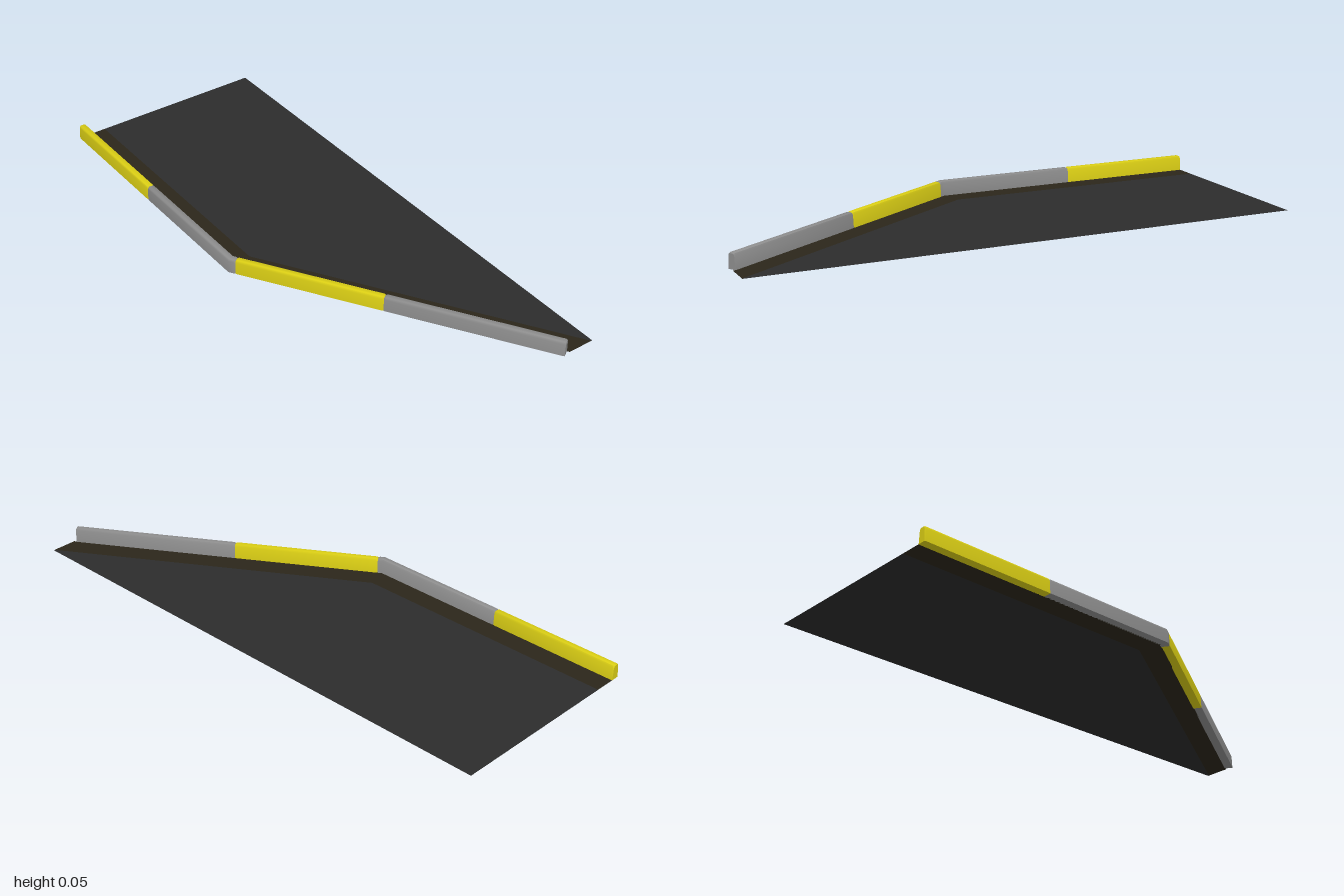
import * as THREE from 'three';
import { toCreasedNormals } from 'three/addons/utils/BufferGeometryUtils.js';

// Curb cross-section: distance inward from the outer edge, height
const PROFILE = [[0, 0], [0.002, 0.044], [0.004, 0.051], [0.008, 0.054], [0.02, 0.054],
  [0.025, 0.052], [0.028, 0.046], [0.031, 0]];
const WIDTH = 0.031;

// Inward offset (mitred at bends) for every point of an outer-edge path
function inwardOffsets(path) {
  const normals = path.slice(1).map((p, i) =>
    new THREE.Vector2(p[1] - path[i][1], path[i][0] - p[0]).normalize());
  return path.map((_, i) => {
    const a = normals[Math.max(i - 1, 0)], b = normals[Math.min(i, normals.length - 1)];
    return a.clone().add(b).divideScalar(1 + a.dot(b));
  });
}

// Sweep the profile along a path, with a small bevel at both ends
function curbGeometry(corners) {
  const bevel = 0.005;
  const toward = (a, b) => {
    const t = bevel / Math.hypot(b[0] - a[0], b[1] - a[1]);
    return [a[0] + (b[0] - a[0]) * t, a[1] + (b[1] - a[1]) * t];
  };
  const n = corners.length;
  const path = [corners[0], toward(corners[0], corners[1]), ...corners.slice(1, -1),
    toward(corners[n - 1], corners[n - 2]), corners[n - 1]];
  const offsets = inwardOffsets(path);
  const last = path.length - 1, k = PROFILE.length;
  const pos = [], index = [];
  path.forEach(([x, z], i) => {
    const s = i === 0 || i === last ? 0.92 : 1;
    for (const [u, v] of PROFILE) {
      const d = WIDTH / 2 + (u - WIDTH / 2) * s;
      pos.push(x + offsets[i].x * d, v * (s < 1 ? 0.95 : 1), z + offsets[i].y * d);
    }
  });
  for (let i = 0; i < last; i++) {
    for (let j = 0; j < k; j++) {
      const a = i * k + j, b = i * k + (j + 1) % k;
      index.push(a, a + k, b, b, a + k, b + k);
    }
  }
  // End caps
  for (let j = 1; j < k - 1; j++) {
    index.push(0, j, j + 1, last * k, last * k + j + 1, last * k + j);
  }
  const g = new THREE.BufferGeometry();
  g.setAttribute('position', new THREE.Float32BufferAttribute(pos, 3));
  g.setIndex(index);
  return toCreasedNormals(g, 0.7);
}

// Flat ground polygon given as [x, z] points
function groundMesh(points, color, name) {
  const shape = new THREE.Shape(points.map(([x, z]) => new THREE.Vector2(x, -z)));
  const g = new THREE.ShapeGeometry(shape).rotateX(-Math.PI / 2);
  const mesh = new THREE.Mesh(g, new THREE.MeshStandardMaterial({ color, side: THREE.DoubleSide }));
  mesh.name = name;
  return mesh;
}

export function createModel() {
  const group = new THREE.Group();
  group.name = 'roadEdge';
  const back = [-0.372, -1], bend = [-0.372, 0.011], front = [0.247, 0.99];
  const alongDiagonal = z => {
    const t = (z - bend[1]) / (front[1] - bend[1]);
    return [bend[0] + (front[0] - bend[0]) * t, z];
  };

  // Alternating painted and plain curb blocks
  const yellow = new THREE.MeshStandardMaterial({ color: 0xd8cc14 });
  const grey = new THREE.MeshStandardMaterial({ color: 0x8c8c8c });
  const blocks = [
    ['rearYellowCurb', yellow, [back, [-0.372, -0.508]]],
    ['bendGreyCurb', grey, [[-0.372, -0.508], bend, alongDiagonal(0.033)]],
    ['middleYellowCurb', yellow, [alongDiagonal(0.033), alongDiagonal(0.478)]],
    ['frontGreyCurb', grey, [alongDiagonal(0.478), front]],
  ];
  for (const [name, material, path] of blocks) {
    const mesh = new THREE.Mesh(curbGeometry(path), material);
    mesh.name = name;
    group.add(mesh);
  }

  // Edge lines parallel to the curb, ending at the front of the road
  const endZ = 0.983, edge = [back, bend, front], offsets = inwardOffsets(edge);
  const parallel = d => {
    const p = edge.map(([x, z], i) => [x + offsets[i].x * d, z + offsets[i].y * d]);
    const t = (endZ - p[1][1]) / (p[2][1] - p[1][1]);
    p[2] = [p[1][0] + (p[2][0] - p[1][0]) * t, endZ];
    return p;
  };
  const inner = parallel(WIDTH - 0.003), gutter = parallel(0.106);

  // Dirty gutter strip and the asphalt beyond it
  group.add(groundMesh([...inner, ...gutter.slice().reverse()], 0x2b261a, 'gutterStrip'));
  group.add(groundMesh([...gutter, [0.372, endZ], [0.372, -1]], 0x2c2c2c, 'asphalt'));
  return group;
}
